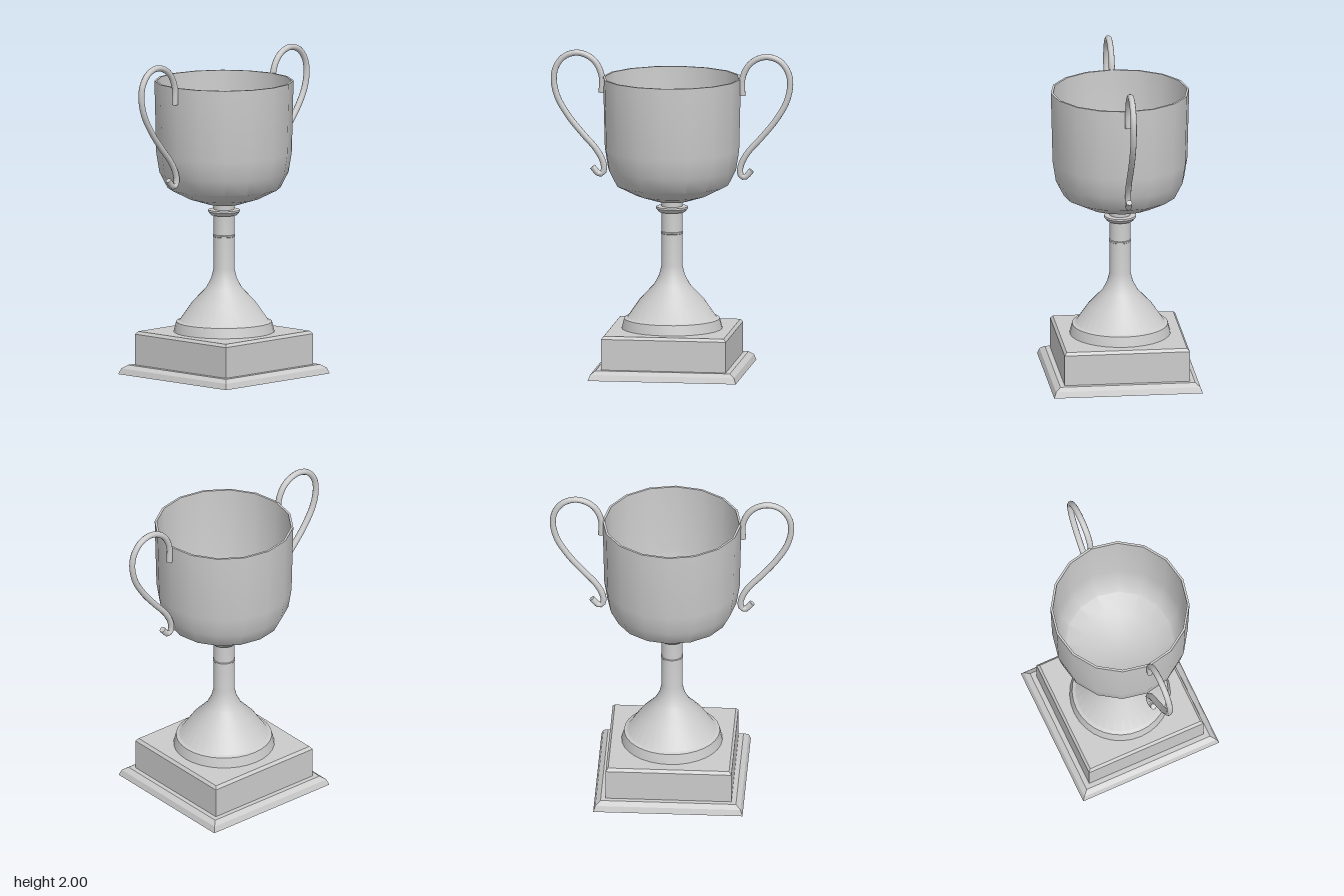
import * as THREE from 'three';
import { toCreasedNormals } from 'three/addons/utils/BufferGeometryUtils.js';

const material = new THREE.MeshStandardMaterial({ color: 0xcccccc });

function part(name, geometry) {
  const mesh = new THREE.Mesh(geometry, material);
  mesh.name = name;
  return mesh;
}

// Profile points are [radius, height], listed from the bottom up the outside
function turned(name, profile, sides) {
  const points = profile.map(([r, y]) => new THREE.Vector2(r, y));
  return part(name, toCreasedNormals(new THREE.LatheGeometry(points, sides), 0.65));
}

// Square moulding: profile points are [half width, height]
function squared(name, profile) {
  const points = profile.map(([w, y]) => new THREE.Vector2(w * Math.SQRT2, y));
  const geometry = new THREE.LatheGeometry(points, 4, Math.PI / 4);
  return part(name, toCreasedNormals(geometry, 0.2));
}

// Looped handle with a scrolled lower end; side is +1 or -1
function handle(name, side) {
  const path = [
    [0.44, 1.735], [0.44, 1.84], [0.475, 1.92], [0.53, 1.965], [0.60, 1.981],
    [0.675, 1.955], [0.725, 1.89], [0.739, 1.81], [0.715, 1.70], [0.645, 1.58],
    [0.555, 1.47], [0.475, 1.38], [0.435, 1.31], [0.425, 1.26], [0.435, 1.228],
    [0.46, 1.226], [0.478, 1.245], [0.497, 1.268],
  ].map(([x, y]) => new THREE.Vector3(side * x, y, 0));
  const group = new THREE.Group();
  group.name = name;
  const radius = 0.019;
  const curve = new THREE.CatmullRomCurve3(path);
  group.add(part('handleTube', new THREE.TubeGeometry(curve, 72, radius, 10)));
  // Flat end caps
  for (const t of [0, 1]) {
    const cap = part('handleEnd', new THREE.CircleGeometry(radius, 10));
    const out = curve.getTangentAt(t).multiplyScalar(t ? 1 : -1);
    cap.position.copy(curve.getPointAt(t));
    cap.quaternion.setFromUnitVectors(new THREE.Vector3(0, 0, 1), out);
    group.add(cap);
  }
  return group;
}

export function createModel() {
  const model = new THREE.Group();
  model.name = 'trophyCup';

  // Square plinth
  model.add(squared('basePlate', [
    [0, 0], [0.463, 0], [0.45, 0.036], [0.42, 0.058], [0, 0.058],
  ]));
  model.add(squared('plinthBlock', [
    [0, 0.05], [0.39, 0.05], [0.39, 0.25], [0.375, 0.268], [0, 0.268],
  ]));

  // Flared foot and slim stem with a thin ring
  model.add(turned('footAndStem', [
    [0.313, 0.266], [0.297, 0.33], [0.276, 0.337], [0.198, 0.45], [0.112, 0.54],
    [0.08, 0.60], [0.064, 0.665], [0.064, 1.07],
  ], 32));
  model.add(turned('stemRing', [
    [0.064, 0.86], [0.069, 0.863], [0.069, 0.872], [0.064, 0.875],
  ], 32));
  model.add(turned('collar', [
    [0.064, 0.998], [0.082, 0.998], [0.1, 1.02], [0.098, 1.03], [0.064, 1.033],
  ], 32));

  // Hollow bowl, outside then inside
  model.add(turned('bowl', [
    [0, 1.058], [0.1, 1.066], [0.225, 1.105], [0.35, 1.168], [0.4, 1.265],
    [0.42, 1.39], [0.431, 1.838], [0.417, 1.838], [0.405, 1.39], [0.386, 1.27],
    [0.338, 1.18], [0.22, 1.12], [0.1, 1.082], [0, 1.075],
  ], 16));

  // Handles
  model.add(handle('leftHandle', 1));
  model.add(handle('rightHandle', -1));
  return model;
}
